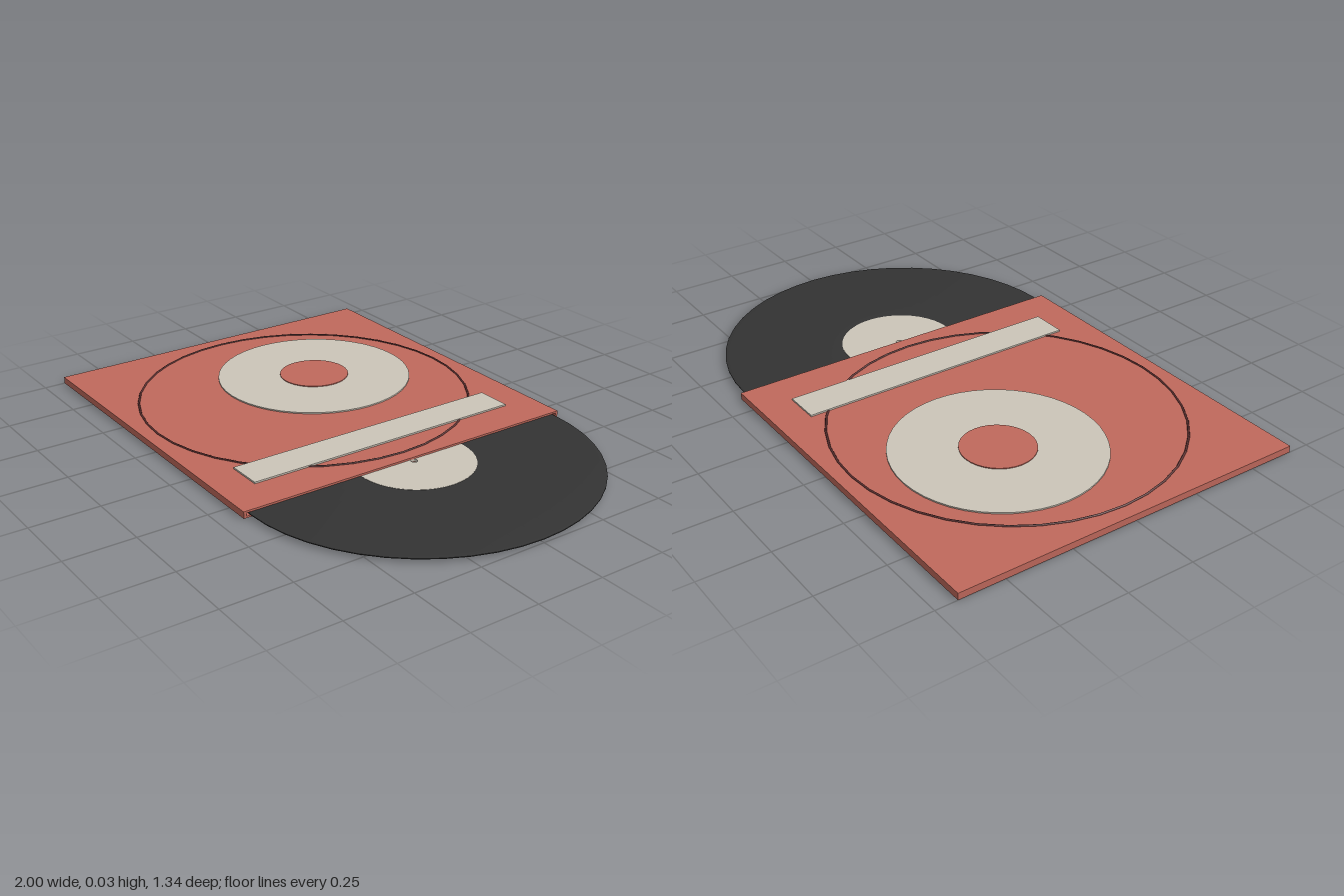
import * as THREE from 'three';
import { toCreasedNormals } from 'three/addons/utils/BufferGeometryUtils.js';

const material = (name, color) => new THREE.MeshStandardMaterial({ name, color });

export function createModel() {
  const red = material('sleeve red', 0xc0695c);
  const cream = material('cream', 0xccc6b9);
  const black = material('vinyl black', 0x333333);
  const maroon = material('dark maroon', 0x5c3030);

  const model = new THREE.Group();
  model.name = 'recordInSleeve';

  const add = (parent, name, geometry, mat, x, y, z) => {
    const mesh = new THREE.Mesh(geometry, mat);
    mesh.name = name;
    mesh.position.set(x, y, z);
    parent.add(mesh);
    return mesh;
  };
  const box = (w, h, d) => new THREE.BoxGeometry(w, h, d);

  // Closed ring turned from a profile that runs bottom to top
  const turned = (profile, segments) => {
    const points = [...profile, profile[0]].map(([r, y]) => new THREE.Vector2(r, y));
    return toCreasedNormals(new THREE.LatheGeometry(points, segments), 0.5);
  };

  // Sleeve: two panels joined along three edges, open on the +x side
  const sleeve = new THREE.Group();
  sleeve.name = 'sleeve';
  model.add(sleeve);
  const size = 1.34, cx = -0.33, height = 0.025, panel = 0.007, wall = 0.01;
  const gap = height - 2 * panel;
  add(sleeve, 'bottomPanel', box(size, panel, size), red, cx, panel / 2, 0);
  add(sleeve, 'topPanel', box(size, panel, size), red, cx, height - panel / 2, 0);
  add(sleeve, 'spine', box(wall, gap, size), red, cx - size / 2 + wall / 2, height / 2, 0);
  for (const side of [-1, 1]) {
    add(sleeve, side > 0 ? 'frontEdge' : 'backEdge', box(size - wall, gap, wall), red,
      cx + wall / 2, height / 2, side * (size - wall) / 2);
  }

  // Cover artwork: thin circle line, broad cream disc with red centre, cream strip
  const line = new THREE.TorusGeometry(0.617, 0.004, 6, 40);
  line.rotateX(Math.PI / 2);
  add(sleeve, 'circleLine', line, maroon, -0.328, height, 0);
  add(sleeve, 'coverDisc', new THREE.CylinderGeometry(0.37, 0.37, 0.005, 48), cream,
    -0.46, height + 0.0025, -0.133);
  add(sleeve, 'coverDiscCentre', new THREE.CylinderGeometry(0.132, 0.132, 0.008, 32), red,
    -0.46, height + 0.004, -0.133);
  add(sleeve, 'coverStrip', box(0.135, 0.006, 1.085), cream, 0.128, height + 0.003, -0.002);

  // Record, half drawn out of the sleeve, with a bevelled rim
  const record = new THREE.Group();
  record.name = 'record';
  record.position.set(0.35, height / 2, 0);
  model.add(record);
  add(record, 'disc', turned([
    [0.2, -0.004], [0.635, -0.004], [0.65, -0.0015],
    [0.65, 0.0015], [0.635, 0.004], [0.2, 0.004],
  ], 48), black, 0, 0, 0);

  // Label shows on both faces and has the spindle hole
  add(record, 'label', turned([
    [0.012, -0.0048], [0.215, -0.0048], [0.215, 0.0048], [0.012, 0.0048],
  ], 40), cream, 0, 0, 0);

  return model;
}
